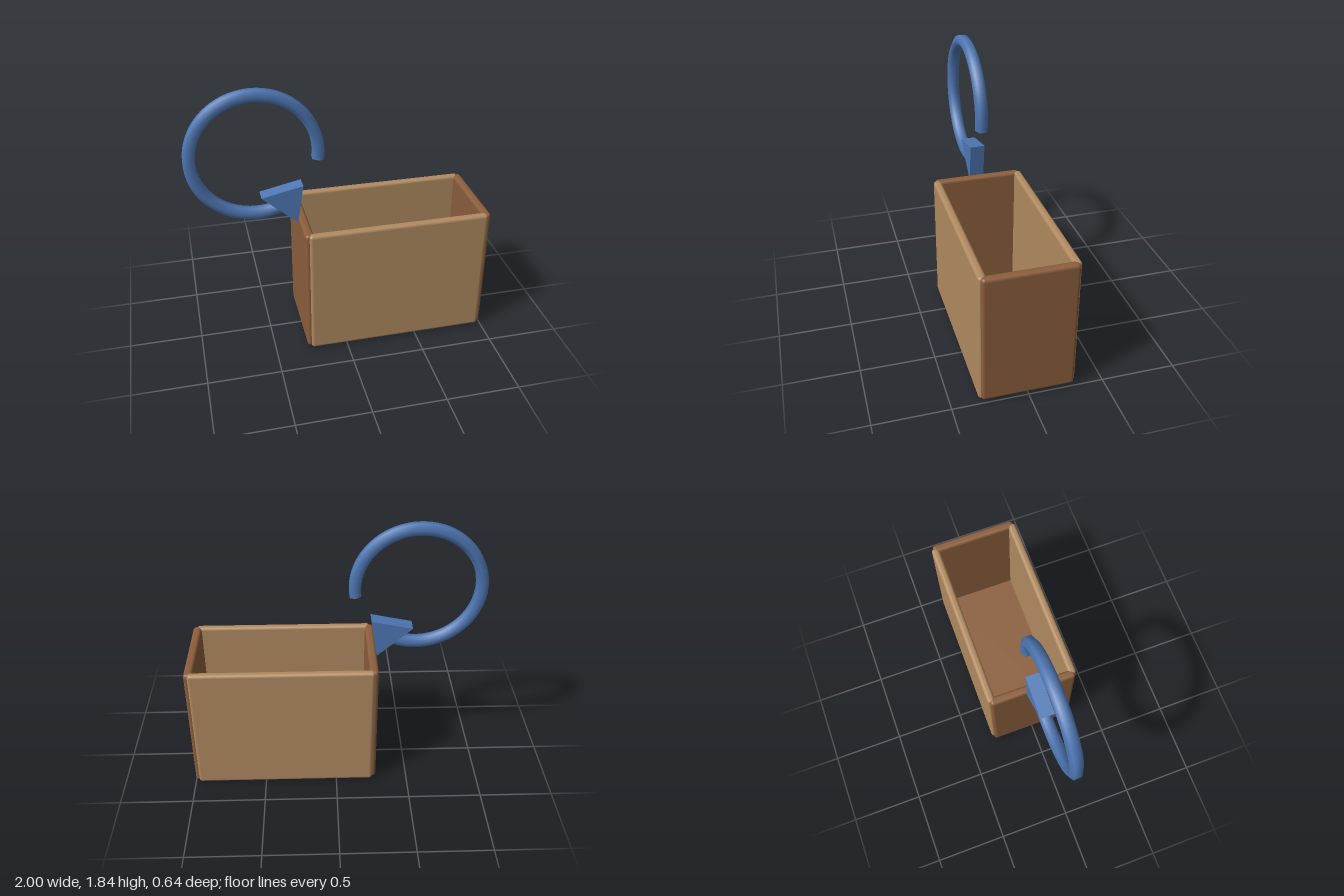
import * as THREE from 'three';
import { RoundedBoxGeometry } from 'three/addons/geometries/RoundedBoxGeometry.js';
import { mergeVertices } from 'three/addons/utils/BufferGeometryUtils.js';

function material(name, color) {
  const m = new THREE.MeshStandardMaterial({ color });
  m.name = name;
  return m;
}

export function createModel() {
  const tan = material('tan cardboard', 0xb08a60);
  const brown = material('brown cardboard', 0x8b5e3c);
  const blue = material('blue', 0x4f78b5);
  const model = new THREE.Group();
  model.name = 'openBoxWithArrow';

  const add = (name, geometry, mat, x = 0, y = 0, z = 0, parent = model) => {
    const mesh = new THREE.Mesh(geometry, mat);
    mesh.name = name;
    mesh.position.set(x, y, z);
    parent.add(mesh);
    return mesh;
  };

  // Open box: floor and four rounded panels
  const box = new THREE.Group();
  box.name = 'box';
  model.add(box);
  const cx = 0.36;
  const panel = (name, mat, w, y0, y1, d, x, z) =>
    add(name, new RoundedBoxGeometry(w, y1 - y0, d, 3, 0.022), mat, x, (y0 + y1) / 2, z, box);
  panel('floor', brown, 1.23, 0, 0.055, 0.61, cx, 0);
  panel('frontPanel', tan, 1.23, 0.008, 0.93, 0.055, cx, 0.2925);
  panel('backPanel', tan, 1.23, 0.008, 0.93, 0.055, cx, -0.2925);
  panel('leftPanel', brown, 0.06, 0.016, 0.929, 0.61, cx + 0.61, 0);
  panel('rightPanel', brown, 0.06, 0.016, 0.929, 0.61, cx - 0.61, 0);

  // Curved arrow: six-sided tube bent around a circle
  const arrow = new THREE.Group();
  arrow.name = 'curvedArrow';
  model.add(arrow);
  const R = 0.416, r = 0.045;
  const start = THREE.MathUtils.degToRad(-8), end = THREE.MathUtils.degToRad(302);
  const section = [];
  for (let i = 0; i <= 6; i++) {
    const a = Math.PI / 2 + (i * Math.PI) / 3;
    section.push(new THREE.Vector2(R + r * Math.cos(a), r * Math.sin(a)));
  }
  // Lathe turns about y; tip it so the ring lies in the xy plane
  let ring = new THREE.LatheGeometry(section, 64, Math.PI / 2 - end, end - start);
  ring.rotateX(Math.PI / 2);
  ring.scale(1, -1, 1);
  ring.deleteAttribute('normal');
  ring.deleteAttribute('uv');
  ring = mergeVertices(ring);
  // Put the winding outward whatever the mirroring did
  const p = ring.attributes.position, ids = ring.index.array;
  let volume = 0;
  const [a, b, c] = [0, 0, 0].map(() => new THREE.Vector3());
  for (let i = 0; i < ids.length; i += 3) {
    a.fromBufferAttribute(p, ids[i]);
    b.fromBufferAttribute(p, ids[i + 1]);
    c.fromBufferAttribute(p, ids[i + 2]);
    // compare the face normal with the direction away from the tube's centre line
    const mid = a.clone().add(b).add(c).divideScalar(3);
    const core = new THREE.Vector3(mid.x, mid.y, 0).setLength(R);
    volume += b.clone().sub(a).cross(c.clone().sub(a)).dot(mid.sub(core));
  }
  if (volume < 0) {
    for (let i = 0; i < ids.length; i += 3) [ids[i], ids[i + 1]] = [ids[i + 1], ids[i]];
  }
  ring.computeVertexNormals();
  add('arrowShaft', ring, blue, -0.545, 1.39, 0, arrow);

  // Flat six-sided caps at the two ends of the tube
  [[start, 1], [end, -1]].forEach(([t, side], i) => {
    const cap = add(i ? 'shaftEndInHead' : 'shaftFreeEnd', new THREE.CircleGeometry(r, 6), blue,
      -0.545 + R * Math.cos(t), 1.39 + R * Math.sin(t), 0, arrow);
    const out = new THREE.Vector3(Math.sin(t), -Math.cos(t), 0).multiplyScalar(side);
    const zAxis = new THREE.Vector3(0, 0, 1);
    cap.quaternion.setFromRotationMatrix(
      new THREE.Matrix4().makeBasis(zAxis, out.clone().cross(zAxis), out));
  });

  // Arrowhead: triangular prism
  const head = new THREE.Shape([
    new THREE.Vector2(-0.52, 1.1),
    new THREE.Vector2(-0.281, 0.885),
    new THREE.Vector2(-0.24, 1.16),
  ]);
  add('arrowHead', new THREE.ExtrudeGeometry(head, { depth: 0.1, bevelEnabled: false }),
    blue, 0, 0, -0.05, arrow);

  return model;
}
